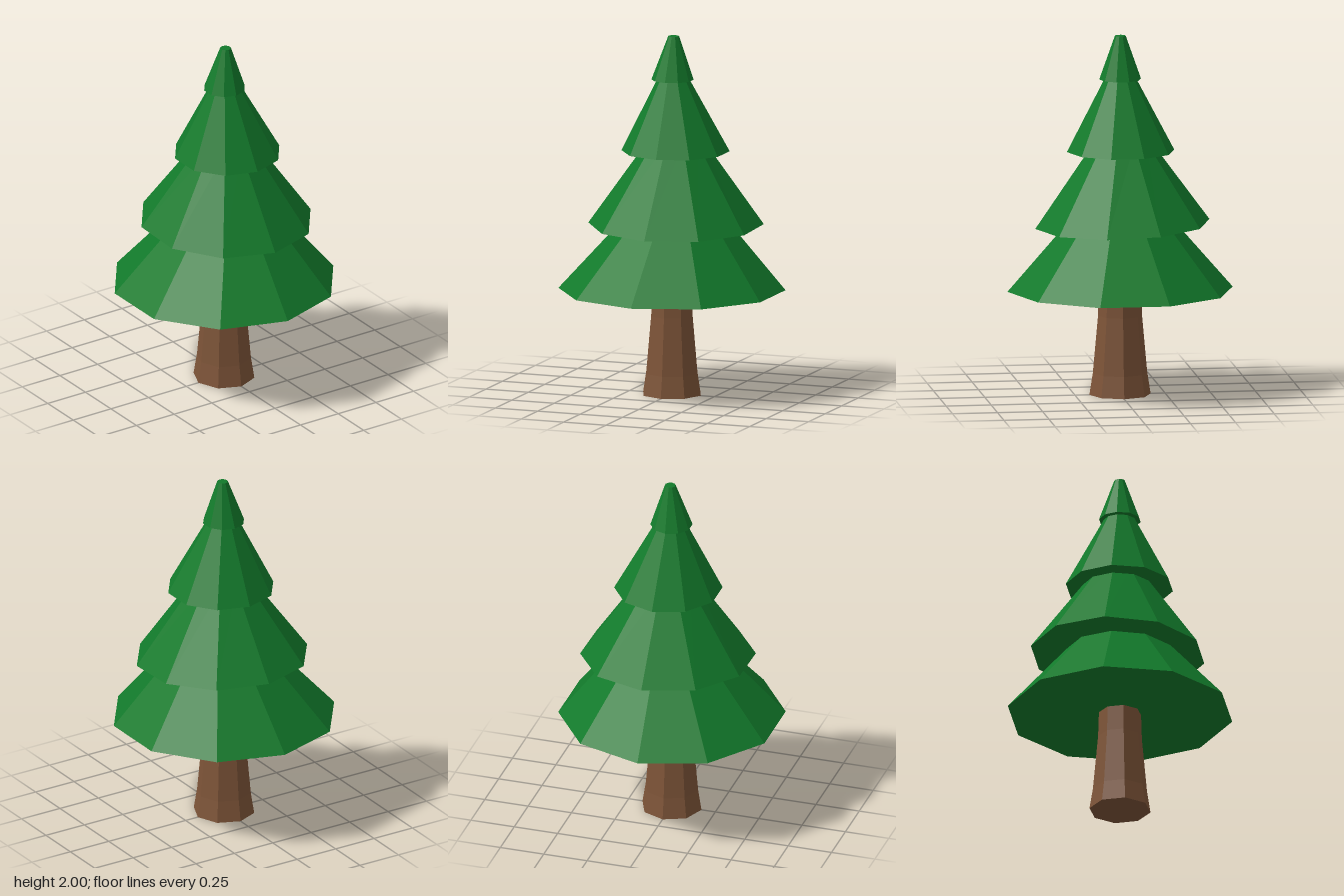
import * as THREE from 'three';

const leafMaterial = new THREE.MeshStandardMaterial({ color: 0x127a2b, flatShading: true });
const barkMaterial = new THREE.MeshStandardMaterial({ color: 0x7d5438, flatShading: true });

// Ten-sided closed frustum whose top can sit off-centre and whose base can tilt.
function branchTier({ name, y0, y1, r0, r1, base = [0, 0], top = base, tilt = [0, 0] }) {
  const geometry = new THREE.CylinderGeometry(r1, r0, 1, 10);
  const p = geometry.attributes.position;
  for (let i = 0; i < p.count; i++) {
    const x = p.getX(i), z = p.getZ(i), t = p.getY(i) + 0.5;
    const lean = (1 - t) * (tilt[0] * x + tilt[1] * z);
    p.setXYZ(
      i,
      x + THREE.MathUtils.lerp(base[0], top[0], t),
      THREE.MathUtils.lerp(y0, y1, t) + lean,
      z + THREE.MathUtils.lerp(base[1], top[1], t)
    );
  }
  geometry.computeVertexNormals();
  const mesh = new THREE.Mesh(geometry, leafMaterial);
  mesh.name = name;
  return mesh;
}

export function createModel() {
  const tree = new THREE.Group();
  tree.name = 'pineTree';

  // Octagonal trunk flaring at the foot
  const profile = [[0, 0], [0.17, 0], [0.151, 0.12], [0.122, 0.44], [0.117, 0.6], [0, 0.6]];
  const trunk = new THREE.Mesh(
    new THREE.LatheGeometry(profile.map(([r, y]) => new THREE.Vector2(r, y)), 8),
    barkMaterial
  );
  trunk.name = 'trunk';
  tree.add(trunk);

  // Stacked foliage, each tier reaching a little way into the next
  const tiers = [
    { name: 'lowestBranches', y0: 0.585, y1: 1.0, r0: 0.625, r1: 0.264, top: [0.02, 0] },
    { name: 'lowerBranches', y0: 0.952, y1: 1.42, r0: 0.483, r1: 0.15, base: [0.02, -0.01], tilt: [-0.01, -0.034] },
    { name: 'upperBranches', y0: 1.36, y1: 1.8, r0: 0.298, r1: 0.067, base: [0.021, 0], top: [0.007, 0] },
    { name: 'treeTop', y0: 1.757, y1: 2, r0: 0.116, r1: 0.03, base: [0.003, 0], top: [0.01, 0] },
  ];
  for (const tier of tiers) tree.add(branchTier(tier));

  return tree;
}
